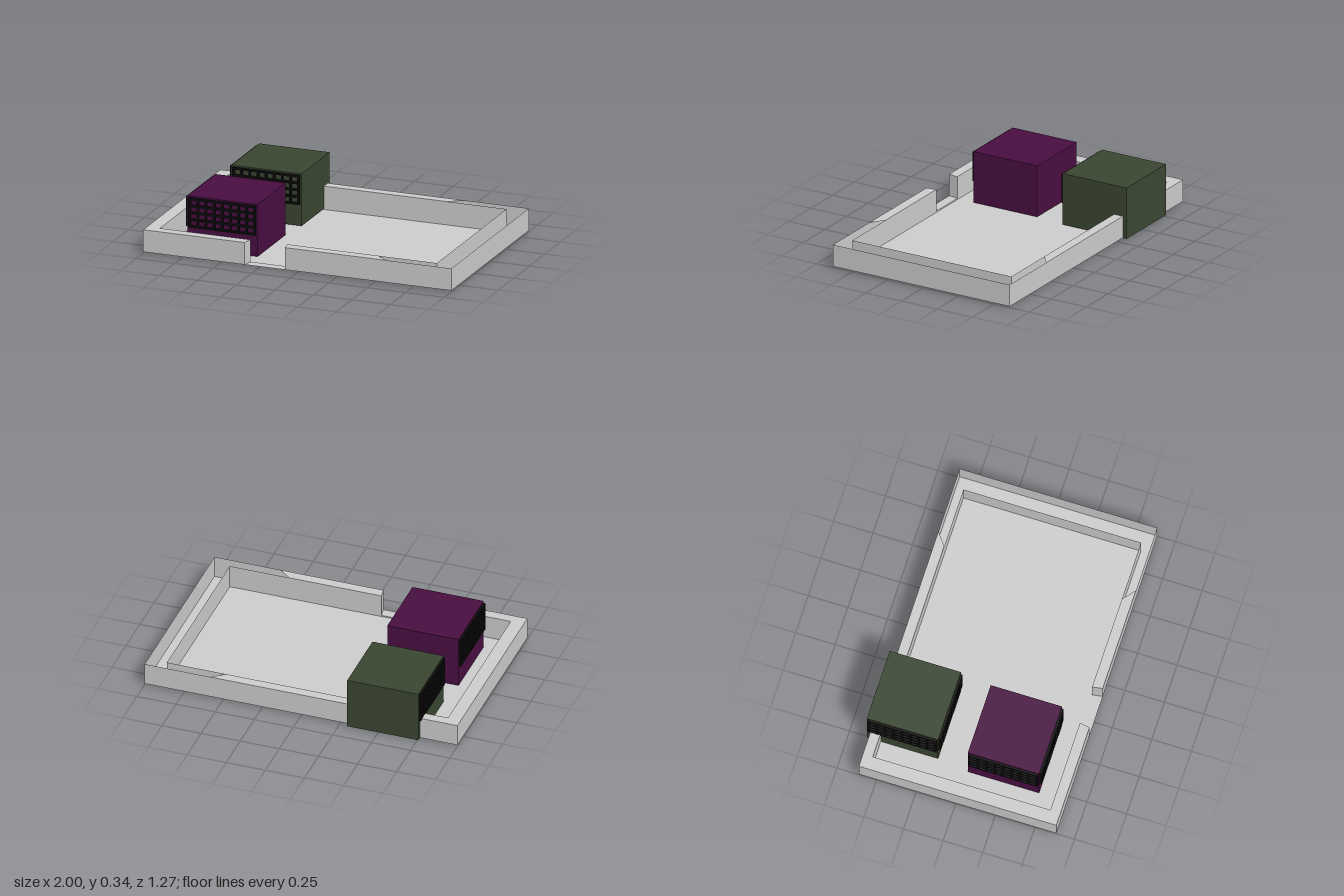
import * as THREE from 'three';
import { mergeGeometries } from 'three/addons/utils/BufferGeometryUtils.js';

const sheetGrey = new THREE.MeshStandardMaterial({ color: 0xcccccc, side: THREE.DoubleSide });
const purple = new THREE.MeshStandardMaterial({ color: 0x480e41 });
const green = new THREE.MeshStandardMaterial({ color: 0x3a4631 });
const black = new THREE.MeshStandardMaterial({ color: 0x0c0c0c });

function addMesh(parent, name, geometry, material) {
  const mesh = new THREE.Mesh(geometry, material);
  mesh.name = name;
  parent.add(mesh);
  return mesh;
}

// Vertical sheet that follows a list of [x, z] corners
function ribbon(points, y0, y1) {
  const panels = [];
  for (let i = 0; i + 1 < points.length; i++) {
    const [ax, az] = points[i], [bx, bz] = points[i + 1];
    const panel = new THREE.PlaneGeometry(Math.hypot(bx - ax, bz - az), y1 - y0);
    panel.rotateY(-Math.atan2(bz - az, bx - ax));
    panel.translate((ax + bx) / 2, (y0 + y1) / 2, (az + bz) / 2);
    panels.push(panel);
  }
  return mergeGeometries(panels);
}

// Horizontal sheet from [x, z] corners, with an optional hole
function slab(points, y, hole) {
  const toVectors = list => list.map(([x, z]) => new THREE.Vector2(x, -z));
  const shape = new THREE.Shape(toVectors(points));
  if (hole) shape.holes.push(new THREE.Path(toVectors(hole)));
  return new THREE.ShapeGeometry(shape).rotateX(-Math.PI / 2).translate(0, y, 0);
}

// Lattice of thin bars in the xy plane, centred on x
function latticeGeometry(width, y0, y1, cols, rows) {
  const bar = 0.013, depth = 0.014, bars = [];
  for (let i = 0; i <= cols; i++) {
    const x = -width / 2 + bar / 2 + (i / cols) * (width - bar);
    bars.push(new THREE.BoxGeometry(bar, y1 - y0, depth).translate(x, (y0 + y1) / 2, 0));
  }
  for (let j = 0; j <= rows; j++) {
    const y = y0 + bar / 2 + (j / rows) * (y1 - y0 - bar);
    bars.push(new THREE.BoxGeometry(width, bar, depth).translate(0, y, 0));
  }
  return mergeGeometries(bars);
}

// Solid block with lattices on its front and right faces
function createBlock(name, material, x, z) {
  const size = 0.455, y0 = 0.006, y1 = 0.336;
  const block = new THREE.Group();
  block.name = name;
  const body = new THREE.BoxGeometry(size, y1 - y0, size - 0.005);
  addMesh(block, name + 'Body', body.translate(0, (y0 + y1) / 2, 0), material);
  const lattice = latticeGeometry(0.435, 0.14, 0.327, 8, 4);
  addMesh(block, 'frontLattice', lattice, black).position.z = size / 2 + 0.004;
  const side = addMesh(block, 'sideLattice', lattice, black);
  side.rotation.y = -Math.PI / 2;
  side.position.x = -size / 2 - 0.006;
  block.position.set(x, 0, z);
  return block;
}

export function createModel() {
  const model = new THREE.Group();
  const lip = 0.008, top = 0.148;
  const outer = [[-1, -0.612], [1, -0.612], [1, 0.636], [-1, 0.636]];
  const inner = [[-0.917, -0.55], [0.88, -0.55], [0.88, 0.572], [-0.917, 0.572]];
  const gapInner = [[-0.33, 0.572], [-0.09, 0.572]];
  const gapOuter = [[-0.342, 0.636], [-0.08, 0.636]];

  // Tray floor, sunk slightly below the surrounding rim
  const tray = new THREE.Group();
  tray.name = 'tray';
  model.add(tray);
  addMesh(tray, 'floor', slab(inner, 0), sheetGrey);
  addMesh(tray, 'floorRim', slab(outer, lip, inner), sheetGrey);
  addMesh(tray, 'floorStep', ribbon([...inner, inner[0]], 0, lip), sheetGrey);

  // Walls, interrupted by the entrance gap in the front
  addMesh(tray, 'outerWall', ribbon([gapInner[0], gapOuter[0], outer[3], outer[0],
    outer[1], outer[2], gapOuter[1], gapInner[1]], lip, top), sheetGrey);
  addMesh(tray, 'innerWall', ribbon([gapInner[0], inner[3], inner[0], inner[1],
    inner[2], gapInner[1]], lip, top), sheetGrey);

  // Wall caps stop short, leaving the left end open between its two walls
  addMesh(tray, 'mainWallCap', slab([[0.58, -0.612], outer[0], outer[3], gapOuter[0],
    gapInner[0], inner[3], inner[0], [0.5, -0.55]], top), sheetGrey);
  addMesh(tray, 'frontWallCap', slab([gapOuter[1], [0.58, 0.636], [0.5, 0.572],
    gapInner[1]], top), sheetGrey);

  // Two blocks standing in the tray
  model.add(createBlock('frontBlock', purple, -0.557, 0.233));
  model.add(createBlock('backBlock', green, -0.532, -0.413));
  return model;
}
